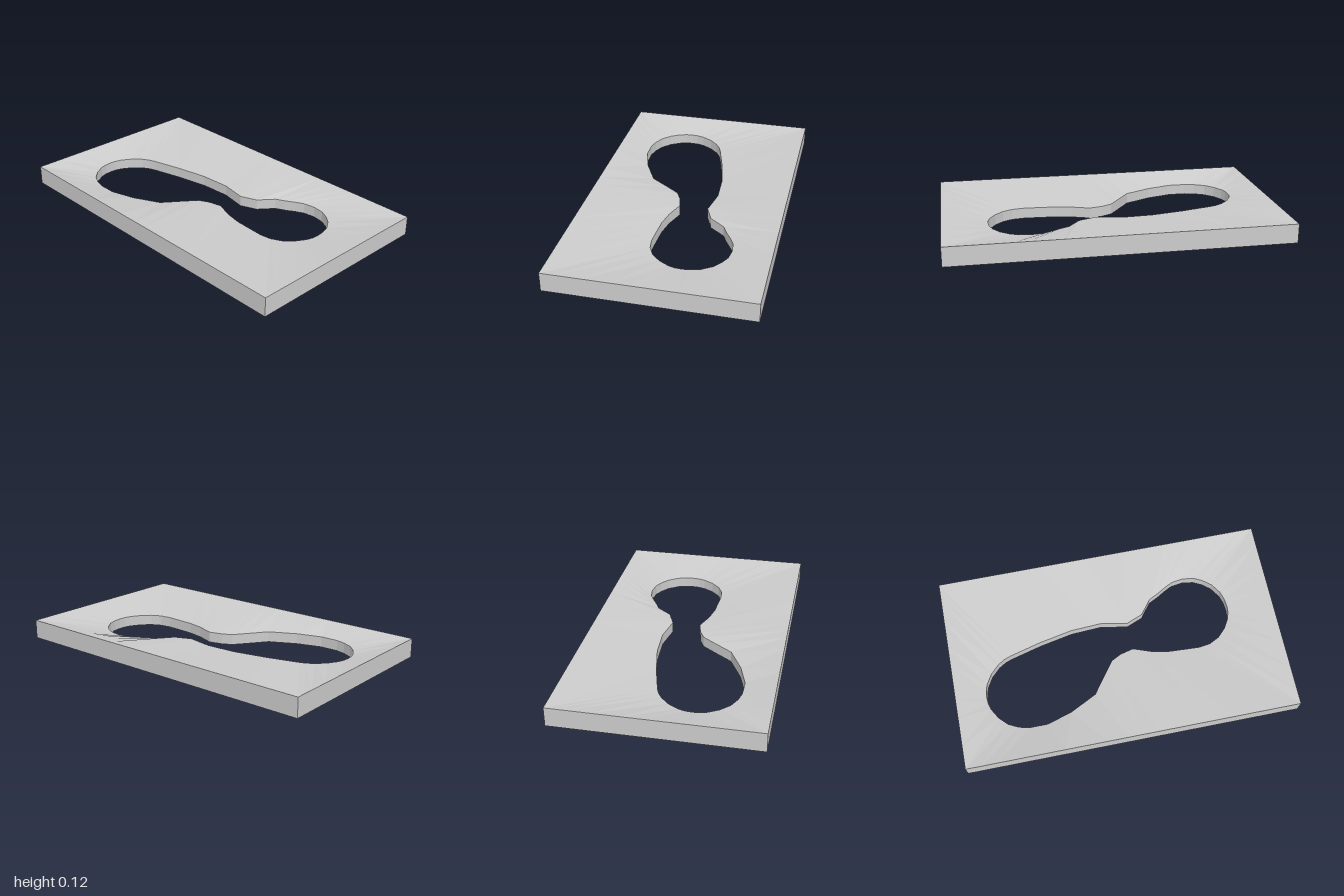
import * as THREE from 'three';

const HALF_X = 0.59, HALF_Z = 1, HEIGHT = 0.115, RIM = 0.065;

// Outline of the opening as [x, z], one run per side of the slab.
// Each run starts at the point joined to a slab corner.
const right = [[.06, -.64], [.11, -.45], [.15, -.25], [.16, -.06], [.13, .1], [.17, .2], [.26, .27],
  [.29, .33], [.32, .38], [.345, .43], [.355, .5], [.345, .57]];
const front = [[.32, .62], [.28, .67], [.22, .71], [.17, .725], [.12, .73], [.08, .727], [.04, .715],
  [-.02, .68], [-.07, .63]];
const left = [[-.1, .57], [-.11, .5], [-.105, .4], [-.1, .31], [-.08, .21], [-.04, .1], [-.06, .02],
  [-.09, -.04], [-.17, -.1], [-.28, -.18], [-.36, -.34], [-.405, -.49], [-.405, -.6], [-.39, -.66]];
const back = [[-.36, -.72], [-.31, -.77], [-.25, -.805], [-.21, -.817], [-.17, -.82], [-.13, -.817],
  [-.09, -.805], [-.03, -.77], [.02, -.72], [.045, -.68]];
const runs = [right, front, left, back];
const corners = [[HALF_X, -HALF_Z], [HALF_X, HALF_Z], [-HALF_X, HALF_Z], [-HALF_X, -HALF_Z]];

// Cross-sections from the slab edge to the opening, all the way round
function crossSections() {
  const sections = [];
  runs.forEach((run, s) => {
    const axis = s % 2 ? 0 : 1; // side runs along z, end runs along x
    const a = run[0][axis], b = runs[(s + 1) % 4][0][axis];
    const from = corners[s], to = corners[(s + 1) % 4];
    for (const [x, z] of run) {
      const t = ((axis ? z : x) - a) / (b - a);
      const ox = THREE.MathUtils.lerp(from[0], to[0], t);
      const oz = THREE.MathUtils.lerp(from[1], to[1], t);
      sections.push([[ox, 0, oz], [ox, HEIGHT, oz], [x, RIM, z], [x, 0, z]]);
    }
  });
  return sections;
}

// Outer wall, dished top, opening wall and flat underside in one closed loop
function slabGeometry() {
  const sections = crossSections(), positions = [];
  sections.forEach((p, i) => {
    const q = sections[(i + 1) % sections.length];
    for (let k = 0; k < 4; k++) {
      const n = (k + 1) % 4;
      for (const v of [p[k], p[n], q[n], p[k], q[n], q[k]]) positions.push(...v);
    }
  });
  const geometry = new THREE.BufferGeometry();
  geometry.setAttribute('position', new THREE.Float32BufferAttribute(positions, 3));
  geometry.computeVertexNormals();
  return geometry;
}

export function createModel() {
  const group = new THREE.Group();
  group.name = 'dishedPlate';
  const slab = new THREE.Mesh(
    slabGeometry(),
    new THREE.MeshStandardMaterial({ color: 0xcccccc, flatShading: true })
  );
  slab.name = 'slabWithOpening';
  group.add(slab);
  return group;
}
